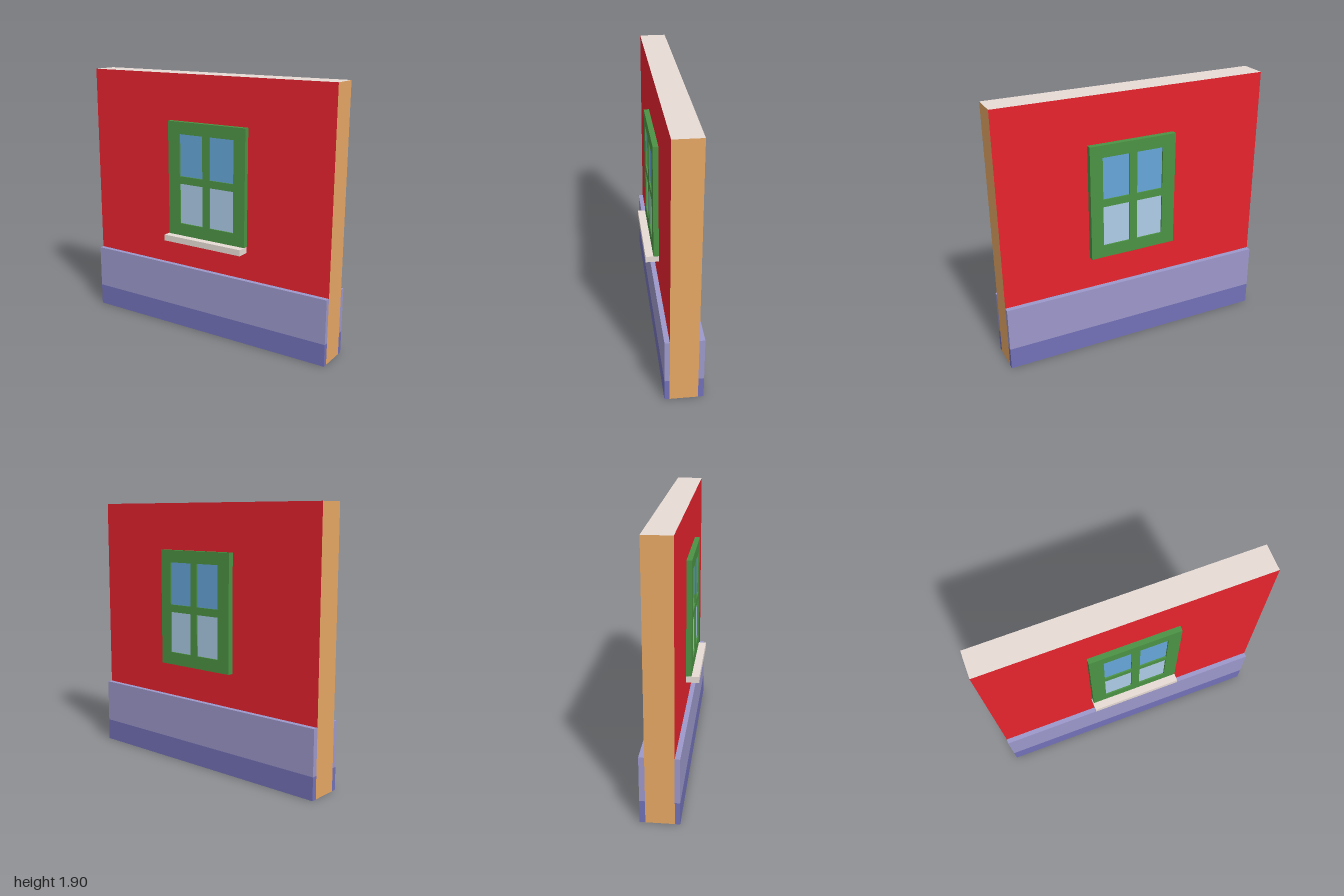
import * as THREE from 'three';

const mat = (name, color, side = THREE.FrontSide) => {
  const m = new THREE.MeshStandardMaterial({ color, side });
  m.name = name;
  return m;
};

export function createModel() {
  const red = mat('red plaster', 0xec242f);
  const pink = mat('pink wall core', 0xea8888, THREE.DoubleSide);
  const tan = mat('tan wall end', 0xecab67, THREE.DoubleSide);
  const stone = mat('pale stone', 0xeee2db, THREE.DoubleSide);
  const lavender = mat('lavender plinth', 0x9c98ca, THREE.DoubleSide);
  const violet = mat('dark violet plinth', 0x7271b8, THREE.DoubleSide);
  const green = mat('green paint', 0x4c9344);
  const blue = mat('blue glass', 0x66a6da);
  const paleBlue = mat('pale blue glass', 0xadcde8);

  const model = new THREE.Group();
  model.name = 'wallWithWindow';

  const add = (name, geometry, material, x, y, z) => {
    const mesh = new THREE.Mesh(geometry, material);
    mesh.name = name;
    mesh.position.set(x, y, z);
    model.add(mesh);
    return mesh;
  };
  // Box given by its limits on each axis; open lists faces left out (+x -x +y -y +z -z = 0..5)
  const box = (name, material, [x0, x1], [y0, y1], [z0, z1], open = []) => {
    const g = new THREE.BoxGeometry(x1 - x0, y1 - y0, z1 - z0);
    g.setIndex([...g.index.array].filter((_, i) => !open.includes(Math.floor(i / 6))));
    g.clearGroups();
    return add(name, g, material, (x0 + x1) / 2, (y0 + y1) / 2, (z0 + z1) / 2);
  };

  const H = 1.9, plinthH = 0.48, front = 0.07, back = -0.122;
  const depth = front - back, mid = (front + back) / 2;

  // Hollow wall, open underneath: full-height core sheets with plaster above the plinth
  const core = new THREE.PlaneGeometry(2, H);
  const plaster = new THREE.PlaneGeometry(2, H - plinthH);
  add('frontCore', core, pink, 0, H / 2, front - 0.002);
  add('backCore', core, pink, 0, H / 2, back + 0.002);
  add('frontPlaster', plaster, red, 0, (H + plinthH) / 2, front);
  add('backPlaster', plaster, red, 0, (H + plinthH) / 2, back).rotation.y = Math.PI;
  for (const s of [-1, 1]) {
    const end = add(s > 0 ? 'leftEnd' : 'rightEnd', new THREE.PlaneGeometry(depth, H), tan, s, H / 2, mid);
    end.rotation.y = s * Math.PI / 2;
  }
  add('wallCap', new THREE.PlaneGeometry(2, depth), stone, 0, H, mid).rotation.x = -Math.PI / 2;

  // Two-tone plinth shells on both sides, open below and towards the wall
  for (const [side, z, inner] of [['front', [front, 0.105], 5], ['back', [-0.16, back], 4]]) {
    box(side + 'PlinthLower', violet, [-1, 1], [0, 0.16], z, [2, 3, inner]);
    box(side + 'PlinthUpper', lavender, [-1, 1], [0.16, plinthH], z, [3, inner]);
  }

  // Window frame outline with four openings
  const rect = (P, x0, x1, y0, y1) => new P([
    new THREE.Vector2(x0, y0), new THREE.Vector2(x1, y0),
    new THREE.Vector2(x1, y1), new THREE.Vector2(x0, y1)]);
  const outline = rect(THREE.Shape, -0.29, 0.36, 0.725, 1.565);
  for (const [x0, x1] of [[-0.19, 0.008], [0.068, 0.267]])
    for (const [y0, y1] of [[0.817, 1.115], [1.17, 1.477]])
      outline.holes.push(rect(THREE.Path, x0, x1, y0, y1));

  // Frames and recessed glass, front and back
  for (const [side, z, d, glassZ] of [['front', front + 0.002, 0.038, 0.098], ['back', -0.165, 0.041, -0.153]]) {
    add(side + 'WindowFrame', new THREE.ExtrudeGeometry(outline, { depth: d, bevelEnabled: false }), green, 0, 0, z);
    const gz = [glassZ - 0.002, glassZ + 0.002];
    box(side + 'LowerGlass', paleBlue, [-0.2, 0.28], [0.81, 1.145], gz);
    box(side + 'UpperGlass', blue, [-0.2, 0.28], [1.145, 1.49], gz);
  }

  // Sill under the front window
  box('windowSill', stone, [-0.295, 0.36], [0.68, 0.725], [front + 0.002, 0.165]);

  return model;
}
